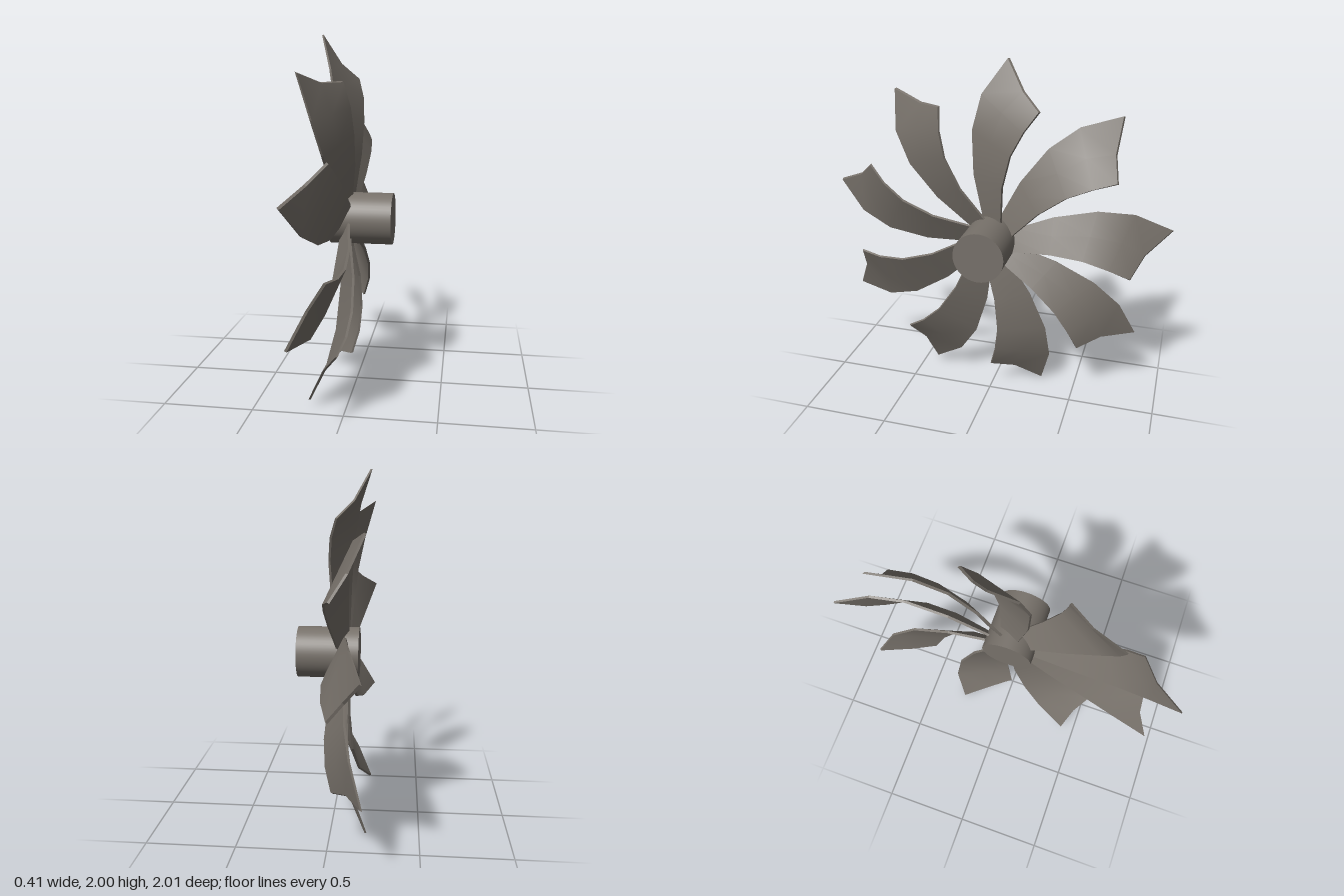
import * as THREE from 'three';

const BLADES = 9;
const HALF_THICK = 0.007;

// Blade edges from root to tip: [across, outward, along the axle]
const LEAD = [[-0.045, 0.1, -0.08], [-0.054, 0.15, -0.08], [-0.106, 0.385, -0.085],
  [-0.118, 0.635, -0.1], [-0.072, 0.832, -0.135], [0.059, 1.019, -0.2]];
const TRAIL = [[0.07, 0.1, -0.025], [0.07, 0.15, -0.02], [0.083, 0.35, 0.01],
  [0.129, 0.536, 0.018], [0.198, 0.67, 0.005], [0.273, 0.776, -0.03]];

// One thin, twisted blade pointing up, with smooth faces and a crisp rim
function bladeGeometry() {
  const rows = LEAD.length, cols = 3;
  const front = [], back = [];
  for (let i = 0; i < rows; i++) {
    const a = LEAD[i], b = TRAIL[i];
    const dh = b[0] - a[0], dx = b[2] - a[2], len = Math.hypot(dh, dx);
    const offH = -dx / len * HALF_THICK, offX = dh / len * HALF_THICK;
    for (let j = 0; j < cols; j++) {
      const t = j / (cols - 1);
      const h = a[0] + dh * t, x = a[2] + dx * t;
      let v = a[1] + (b[1] - a[1]) * t;
      if (i === rows - 1 && j === 1) v -= 0.036; // notch in the tip
      front.push([x + offX, v, -(h + offH)]);
      back.push([x - offX, v, -(h - offH)]);
    }
  }
  const pos = [...front.flat(), ...back.flat()], index = [];
  const n = rows * cols;
  for (let i = 0; i < rows - 1; i++) {
    for (let j = 0; j < cols - 1; j++) {
      const a = i * cols + j, b = a + 1, c = b + cols, d = a + cols;
      index.push(a, b, c, a, c, d);
      index.push(n + a, n + c, n + b, n + a, n + d, n + c);
    }
  }
  // Rim strip around the outline
  const loop = [];
  for (let j = 0; j < cols; j++) loop.push(j);
  for (let i = 1; i < rows; i++) loop.push(i * cols + cols - 1);
  for (let j = cols - 2; j >= 0; j--) loop.push((rows - 1) * cols + j);
  for (let i = rows - 2; i > 0; i--) loop.push(i * cols);
  loop.forEach((p, k) => {
    const q = loop[(k + 1) % loop.length], s = pos.length / 3;
    pos.push(...back[p], ...back[q], ...front[q], ...front[p]);
    index.push(s, s + 1, s + 2, s, s + 2, s + 3);
  });
  const geo = new THREE.BufferGeometry();
  geo.setAttribute('position', new THREE.Float32BufferAttribute(pos, 3));
  geo.setIndex(index);
  geo.computeVertexNormals();
  return geo;
}

export function createModel() {
  const model = new THREE.Group();
  model.name = 'fan';
  const metal = new THREE.MeshStandardMaterial({ color: 0x77716a });
  metal.name = 'warm grey metal';

  const rotor = new THREE.Group();
  rotor.name = 'rotor';
  rotor.position.set(0, 0.978, 0.01);
  model.add(rotor);

  // Hub lying along the x axis
  const hub = new THREE.Mesh(new THREE.CylinderGeometry(0.146, 0.146, 0.35, 48), metal);
  hub.name = 'hub';
  hub.rotation.z = Math.PI / 2;
  hub.position.x = 0.033;
  rotor.add(hub);

  // Ring of blades
  const geo = bladeGeometry();
  for (let k = 0; k < BLADES; k++) {
    const blade = new THREE.Mesh(geo, metal);
    blade.name = `blade${k + 1}`;
    blade.rotation.x = k * 2 * Math.PI / BLADES;
    rotor.add(blade);
  }
  return model;
}
